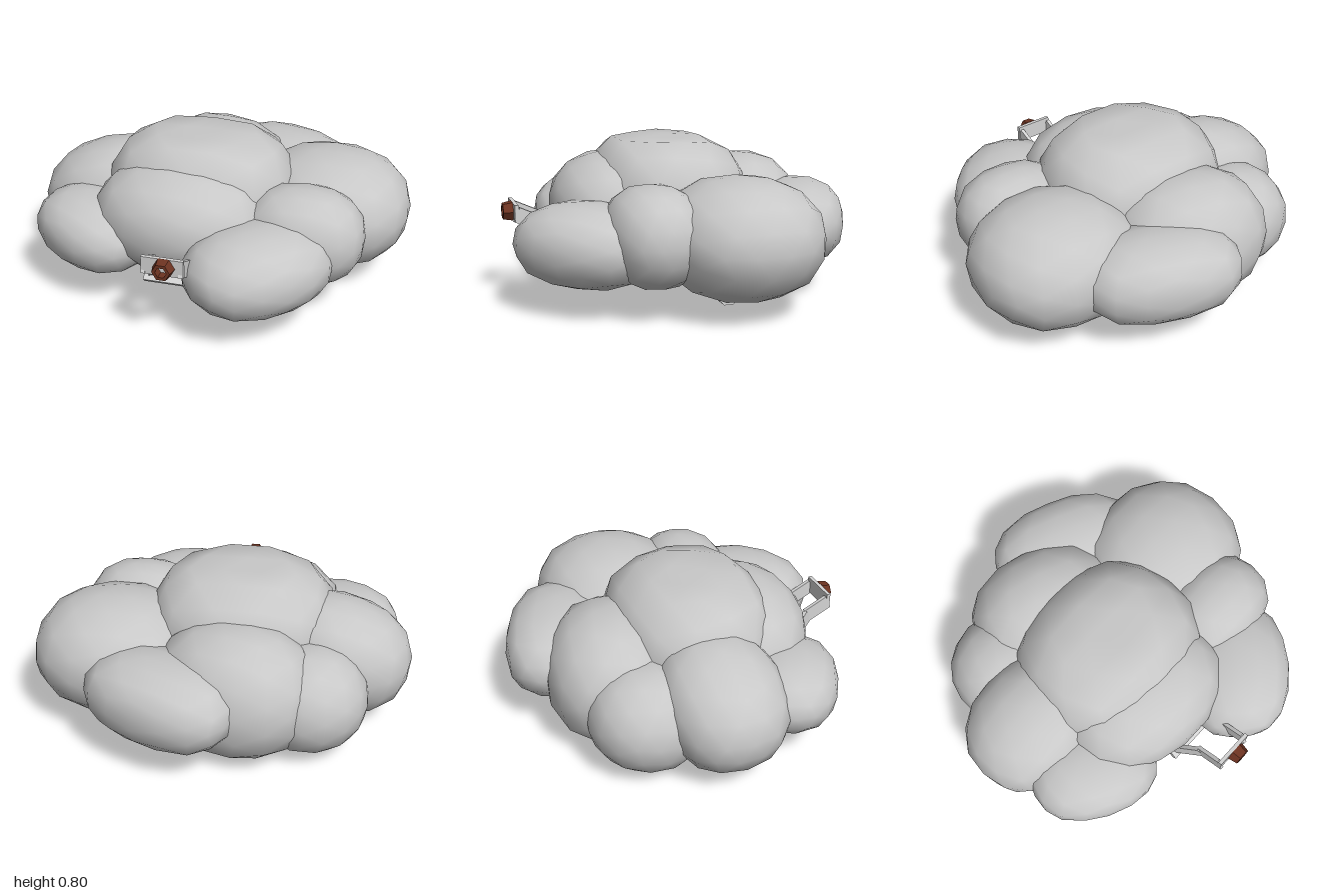
import * as THREE from 'three';
import { mergeVertices } from 'three/addons/utils/BufferGeometryUtils.js';

const cloudGrey = new THREE.MeshStandardMaterial({ color: 0xc8c8c8 });
const bracketGrey = new THREE.MeshStandardMaterial({ color: 0xd4d4d4 });
const rustBrown = new THREE.MeshStandardMaterial({ color: 0x6e3422 });

// Lumpy low-poly ball: power sets how boxy it is, turn tilts it, top cuts it flat
function puffGeometry([cx, cy, cz], [rx, ry, rz], power, turn, top = Infinity) {
  let geo = new THREE.IcosahedronGeometry(1, 2);
  geo.deleteAttribute('normal');
  geo.deleteAttribute('uv');
  geo = mergeVertices(geo, 1e-3);
  const pos = geo.attributes.position;
  const tilt = new THREE.Euler(...turn);
  const v = new THREE.Vector3();
  for (let i = 0; i < pos.count; i++) {
    v.fromBufferAttribute(pos, i);
    const norm = Math.pow(
      Math.abs(v.x) ** power + Math.abs(v.y) ** power + Math.abs(v.z) ** power, 1 / power);
    v.divideScalar(norm);
    v.set(v.x * rx, v.y * ry, v.z * rz).applyEuler(tilt);
    pos.setXYZ(i, cx + v.x, Math.min(cy + v.y, top), cz + v.z);
  }
  geo.computeVertexNormals();
  return geo;
}

// Rectangular bar running from a to b
function bar(name, a, b, width, height) {
  const start = new THREE.Vector3(...a);
  const end = new THREE.Vector3(...b);
  const mesh = new THREE.Mesh(
    new THREE.BoxGeometry(width, height, start.distanceTo(end)), bracketGrey);
  mesh.name = name;
  mesh.position.copy(start).lerp(end, 0.5);
  mesh.lookAt(end);
  return mesh;
}

export function createModel() {
  const model = new THREE.Group();
  model.name = 'cloud';

  // Cloud puffs: name, centre, radii, boxiness, turn, flat top height
  const puffs = [
    ['crownPuff', [-0.09, 0.49, 0.02], [0.5, 0.36, 0.425], 2.5, [-0.12, 0, 0], 0.81],
    ['frontPuff', [-0.13, 0.45, 0.29], [0.465, 0.29, 0.36], 2.2, [0, -0.12, 0]],
    ['leftPuff', [0.56, 0.385, -0.17], [0.44, 0.305, 0.415], 2.25, [0, 0, 0]],
    ['leftFrontPuff', [0.5, 0.41, 0.26], [0.32, 0.25, 0.25], 2.4, [0, 0, 0]],
    ['frontLeftPuff', [0.335, 0.35, 0.55], [0.385, 0.21, 0.3], 2.35, [0, 0.785, 0]],
    ['backPuff', [0.235, 0.38, -0.605], [0.41, 0.21, 0.265], 2.6, [0, -0.4, 0]],
    ['backCentrePuff', [-0.11, 0.35, -0.41], [0.43, 0.345, 0.355], 2.3, [0.12, -0.3, 0]],
    ['backRightPuff', [-0.48, 0.3, -0.36], [0.31, 0.28, 0.32], 2.1, [0.12, 0, 0]],
    ['rightPuff', [-0.62, 0.385, -0.03], [0.38, 0.285, 0.32], 2.35, [0, 0, 0.3]],
    ['frontRightPuff', [-0.58, 0.35, 0.36], [0.34, 0.19, 0.27], 2.4, [0, -0.5, -0.06]],
  ];
  for (const [name, ...shape] of puffs) {
    const puff = new THREE.Mesh(puffGeometry(...shape), cloudGrey);
    puff.name = name;
    model.add(puff);
  }

  // Eight-sided beam under the cloud
  const beamGeo = new THREE.CylinderGeometry(0.064, 0.064, 1.26, 8).toNonIndexed();
  beamGeo.rotateY(Math.PI / 8);
  beamGeo.rotateZ(Math.PI / 2);
  beamGeo.computeVertexNormals();
  const beam = new THREE.Mesh(beamGeo, bracketGrey);
  beam.name = 'beam';
  beam.position.set(-0.06, 0.1, -0.11);
  model.add(beam);

  // Front bracket: face plate, two bent side arms and a sloping lower plate
  const bracket = new THREE.Group();
  bracket.name = 'bracket';
  const plate = new THREE.Mesh(new THREE.BoxGeometry(0.21, 0.09, 0.02), bracketGrey);
  plate.name = 'facePlate';
  plate.position.set(-0.05, 0.465, 0.855);
  bracket.add(
    plate,
    bar('rightArmFront', [-0.145, 0.46, 0.855], [-0.145, 0.4, 0.725], 0.02, 0.08),
    bar('rightArmBack', [-0.145, 0.405, 0.735], [-0.225, 0.25, 0.55], 0.022, 0.08),
    bar('leftArmFront', [0.04, 0.46, 0.855], [0.04, 0.4, 0.725], 0.02, 0.08),
    bar('leftArmBack', [0.04, 0.405, 0.735], [0.1, 0.25, 0.55], 0.022, 0.08),
    bar('lowerPlate', [-0.07, 0.23, 0.63], [-0.07, 0.32, 0.54], 0.32, 0.03),
  );
  model.add(bracket);

  // Hexagonal nozzle, open through the middle
  const profile = [[0.03, 0], [0.055, 0], [0.045, 0.05], [0.028, 0.05], [0.03, 0]]
    .map(([r, y]) => new THREE.Vector2(r, y));
  const nozzleGeo = new THREE.LatheGeometry(profile, 6).toNonIndexed();
  nozzleGeo.rotateY(Math.PI / 2);
  nozzleGeo.rotateX(Math.PI / 2);
  nozzleGeo.computeVertexNormals();
  const nozzle = new THREE.Mesh(nozzleGeo, rustBrown);
  nozzle.name = 'nozzle';
  nozzle.position.set(-0.04, 0.465, 0.865);
  model.add(nozzle);

  return model;
}
